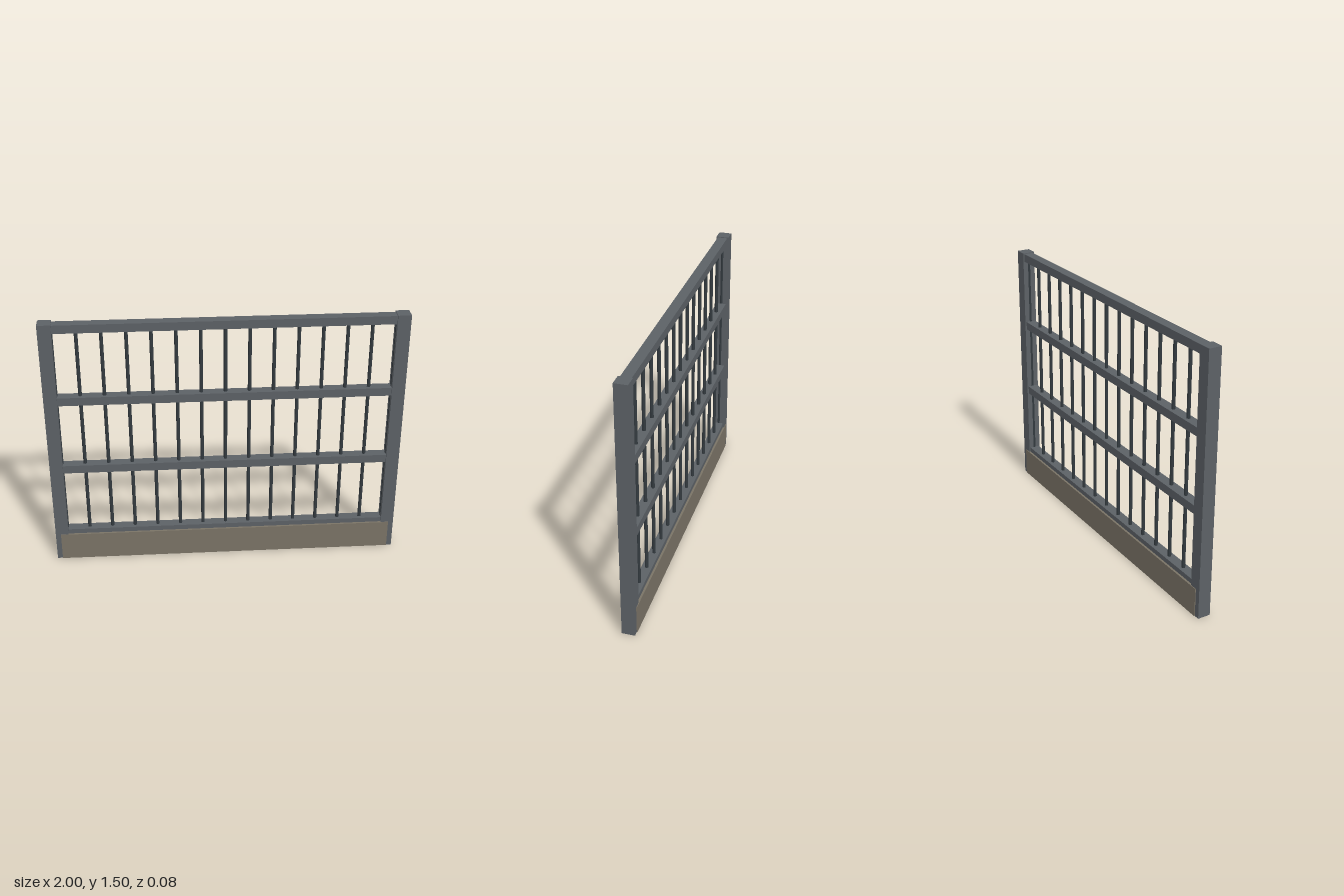
import * as THREE from 'three';

export function createModel() {
  const group = new THREE.Group();
  const steel = new THREE.MeshStandardMaterial({ color: 0x5c6166 });
  const darkSteel = new THREE.MeshStandardMaterial({ color: 0x333a3f, flatShading: true });
  const stone = new THREE.MeshStandardMaterial({ color: 0x7a7366 });

  const add = (name, geometry, material, x, y, z = 0) => {
    const mesh = new THREE.Mesh(geometry, material);
    mesh.name = name;
    mesh.position.set(x, y, z);
    group.add(mesh);
  };

  // Low plinth wrapping the feet of the posts
  add('plinth', new THREE.BoxGeometry(1.94, 0.167, 0.082), stone, 0, 0.0835);

  // End posts
  const post = new THREE.BoxGeometry(0.074, 1.5, 0.074);
  add('leftPost', post, steel, 0.963, 0.75);
  add('rightPost', post, steel, -0.963, 0.75);

  // Four evenly spaced horizontal rails, the lowest partly sunk in the plinth
  const rail = new THREE.BoxGeometry(1.866, 0.048, 0.058);
  for (let i = 0; i < 4; i++) add('rail', rail, steel, 0, 0.172 + i * 0.433);

  // Vertical bars; the outermost pair is half set into the posts
  const bar = new THREE.CylinderGeometry(0.01, 0.01, 1.3, 8);
  for (let i = -7; i <= 7; i++) add('bar', bar, darkSteel, i * 0.1333, 0.821);

  return group;
}
